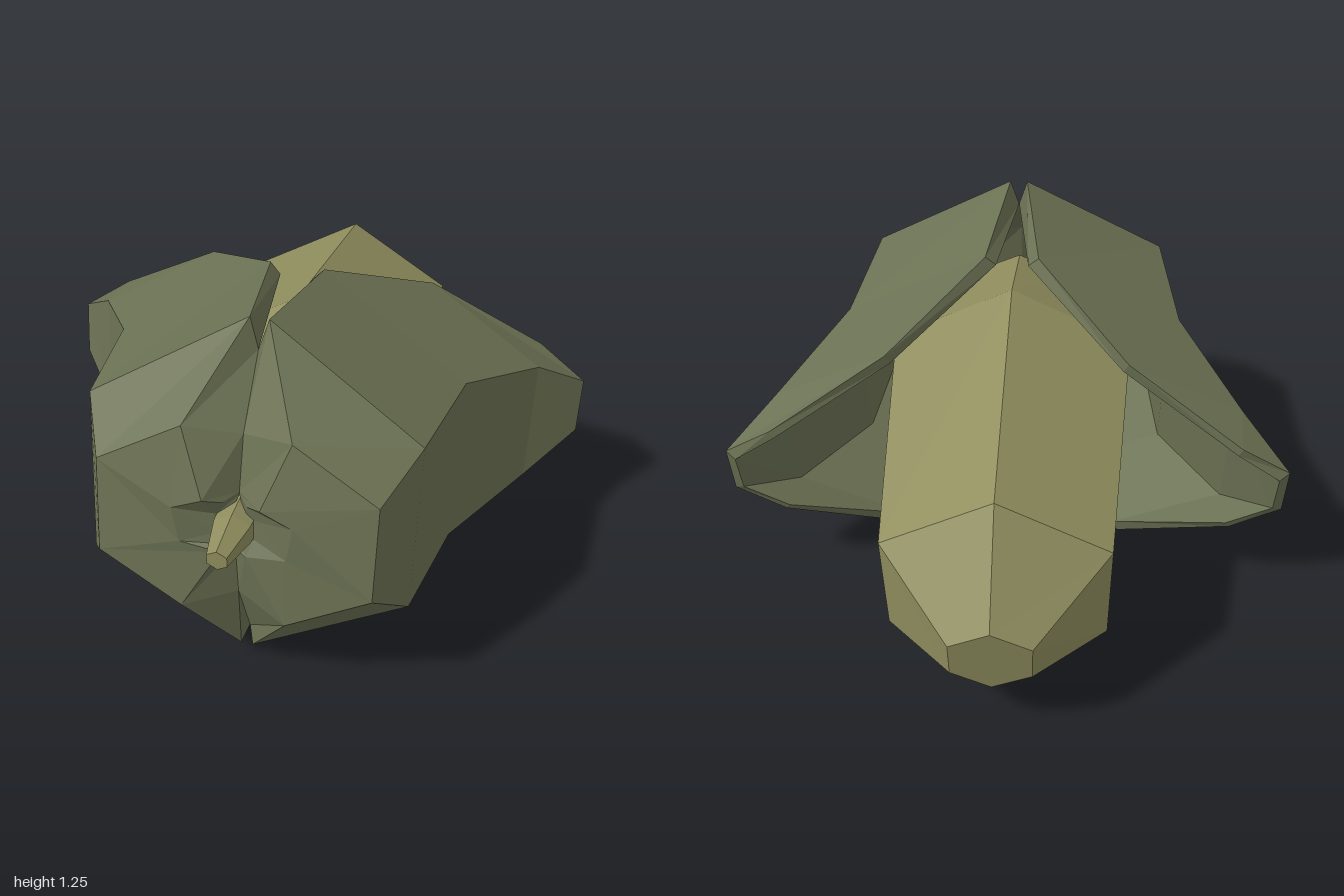
import * as THREE from 'three';

const huskMat = new THREE.MeshStandardMaterial({ color: 0x6b7153, flatShading: true });
huskMat.name = 'husk green';
const nutMat = new THREE.MeshStandardMaterial({ color: 0x918f5f, flatShading: true });
nutMat.name = 'nut tan';

// Joins closed cross-sections, listed front to back and clockwise seen from the front
function loft(rings, capFront = true) {
  const pos = [];
  const tri = (a, b, c) => pos.push(...a, ...b, ...c);
  const n = rings[0].length;
  for (let r = 0; r < rings.length - 1; r++) {
    const a = rings[r], b = rings[r + 1];
    for (let i = 0; i < n; i++) {
      const j = (i + 1) % n;
      tri(a[i], a[j], b[j]);
      tri(a[i], b[j], b[i]);
    }
  }
  // Caps are strips between the two sides of the loop, so thin curved ends work too
  const cap = (p, front) => {
    for (let i = 0; i < n / 2 - 1; i++) {
      const a = p[i], b = p[i + 1], c = p[n - 2 - i], d = p[n - 1 - i];
      if (front) { tri(a, c, b); tri(a, d, c); } else { tri(a, b, c); tri(a, c, d); }
    }
  };
  if (capFront) cap(rings[0], true);
  cap(rings[rings.length - 1], false);
  const g = new THREE.BufferGeometry();
  g.setAttribute('position', new THREE.Float32BufferAttribute(pos, 3));
  g.computeVertexNormals();
  return g;
}

const flip = ([x, y, z]) => [-x, y, z];

// Four points down the left side become a full six-sided section
const hexRing = (p) => [...p, flip(p[2]), flip(p[1])];

// Outer points top to bottom, then the inner rim points at the top and bottom seam
function shellRing([top, upper, lower, bottom, topIn, bottomIn]) {
  const inset = ([x, y, z], dy) => [x - 0.035, y + dy, z - 0.02];
  return [top, upper, lower, bottom, bottomIn, inset(lower, 0.02), inset(upper, -0.02), topIn];
}

// Left half of the husk, from the stem socket to the flared tip
const huskRings = [
  [[0.04, 0.77, 0.82], [0.06, 0.72, 0.82], [0.06, 0.65, 0.83], [0.02, 0.61, 0.83], [0, 0.77, 0.77], [0, 0.6, 0.8]],
  [[0.09, 0.8, 0.86], [0.19, 0.75, 0.86], [0.17, 0.62, 0.865], [0.04, 0.6, 0.86], [0, 0.78, 0.77], [0, 0.6, 0.83]],
  [[0.17, 1.01, 0.78], [0.44, 0.85, 0.81], [0.44, 0.52, 0.87], [0.17, 0.36, 0.89], [0, 0.96, 0.71], [0, 0.4, 0.82]],
  [[0.03, 1.25, 0.52], [0.53, 0.945, 0.62], [0.53, 0.37, 0.72], [0.02, 0.08, 0.76], [0, 1.15, 0.54], [0, 0.13, 0.72]],
  [[0.09, 1.175, 0.1], [0.59, 0.885, 0.2], [0.59, 0.295, 0.29], [0.07, 0.005, 0.33], [0.055, 1.14, 0.11], [0.04, 0.05, 0.33]],
  [[0.4, 0.975, -0.22], [0.8, 0.745, -0.14], [0.8, 0.31, -0.07], [0.41, 0.09, -0.04], [0.385, 0.94, -0.21], [0.385, 0.13, -0.04]],
  [[0.79, 0.72, -0.32], [0.96, 0.605, -0.29], [0.96, 0.41, -0.25], [0.79, 0.31, -0.24], [0.775, 0.695, -0.32], [0.775, 0.335, -0.25]],
].map(shellRing);

// Nut, from its hidden front end to the blunt rear tip
const nutRings = [
  [[0, 0.9, 0.6], [0.2, 0.8, 0.62], [0.2, 0.5, 0.67], [0, 0.42, 0.69]],
  [[0, 1.05, 0.1], [0.42, 0.81, 0.15], [0.42, 0.345, 0.24], [0, 0.11, 0.28]],
  [[0, 0.84, -0.77], [0.365, 0.63, -0.74], [0.365, 0.21, -0.67], [0, 0, -0.63]],
  [[0, 0.52, -1], [0.13, 0.45, -0.99], [0.13, 0.3, -0.96], [0, 0.23, -0.95]],
].map(hexRing);

// Stem, a short tapered hexagonal peg
const stemRings = [[0.71, 0.036, 0.998], [0.69, 0.066, 0.85], [0.68, 0.07, 0.75]].map(([y, r, z]) =>
  hexRing([[0, y + r, z], [r * 0.87, y + r / 2, z], [r * 0.87, y - r / 2, z], [0, y - r, z]]));

export function createModel() {
  const model = new THREE.Group();
  model.name = 'nutInHusk';
  const add = (name, rings, material) => {
    const mesh = new THREE.Mesh(loft(rings), material);
    mesh.name = name;
    model.add(mesh);
  };

  add('huskLeft', huskRings, huskMat);
  // Mirrored half, with each loop reversed so the faces still point outward
  add('huskRight', huskRings.map((ring) => ring.map(flip).reverse()), huskMat);
  // Start at the second hexagon corner so each cap closes as two quads
  add('nut', nutRings, nutMat);
  add('stem', stemRings, nutMat);
  return model;
}
